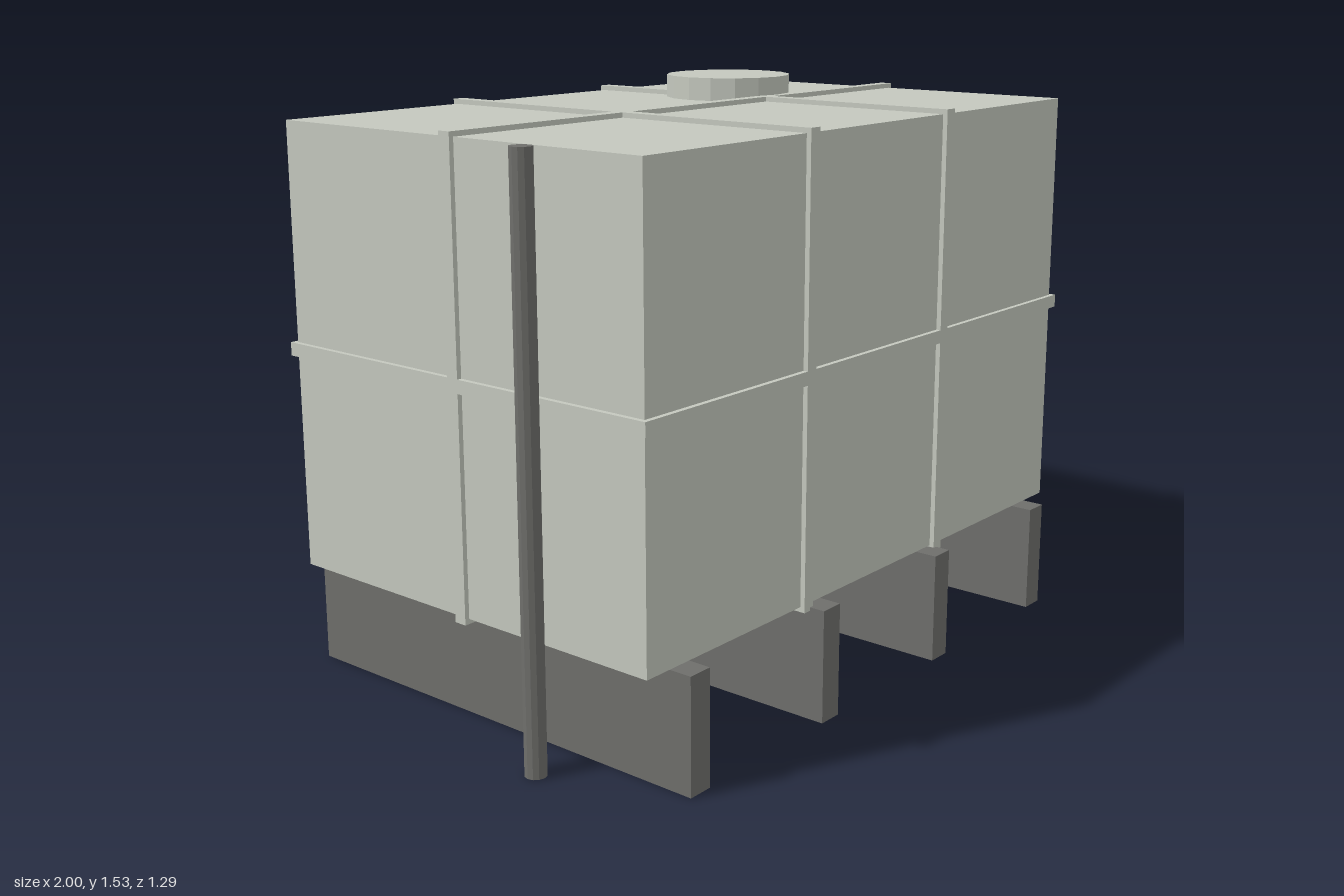
import * as THREE from 'three';

export function createModel() {
  const model = new THREE.Group();
  model.name = 'waterTank';
  const shell = new THREE.MeshStandardMaterial({ color: 0xc4c8be, flatShading: true });
  const dark = new THREE.MeshStandardMaterial({ color: 0x6e6e6b, flatShading: true });

  const add = (name, geometry, material, x, y, z) => {
    const mesh = new THREE.Mesh(geometry, material);
    mesh.name = name;
    mesh.position.set(x, y, z);
    model.add(mesh);
    return mesh;
  };
  const box = (name, material, w, h, d, x, y, z) =>
    add(name, new THREE.BoxGeometry(w, h, d), material, x, y, z);

  // Tank body
  const W = 1.77, H = 1.165, D = 1.18, cx = -0.032, cy = 0.885;
  box('tankBody', shell, W, H, D, cx, cy, 0);

  // Raised joint bands wrapping the tank in all three directions
  const lip = 0.026, band = 0.035;
  for (const side of [-1, 1])
    box('crossBand', shell, band, H + lip, D + lip, cx + side * W / 6, cy, 0);
  box('lengthBand', shell, W + lip, H + lip, band, cx, cy, 0);
  box('waistBand', shell, W + lip, band, D + lip, cx, cy, 0);

  // Round hatch on the roof
  add('hatch', new THREE.CylinderGeometry(0.175, 0.175, 0.07, 16), shell, 0.322, 1.495, -0.178);

  // Support beams
  for (let i = 0; i < 4; i++)
    box('supportBeam', dark, 0.068, 0.298, 1.29, -0.797 + i * 0.51, 0.149, 0);

  // Upright pipe and outlet pipe
  add('uprightPipe', new THREE.CylinderGeometry(0.028, 0.028, 1.472, 12), dark, -0.972, 0.736, 0.29);
  const outlet = add('outletPipe', new THREE.CylinderGeometry(0.034, 0.034, 0.177, 12), dark, 0.9115, 0.267, -0.295);
  outlet.rotation.z = Math.PI / 2;

  return model;
}
